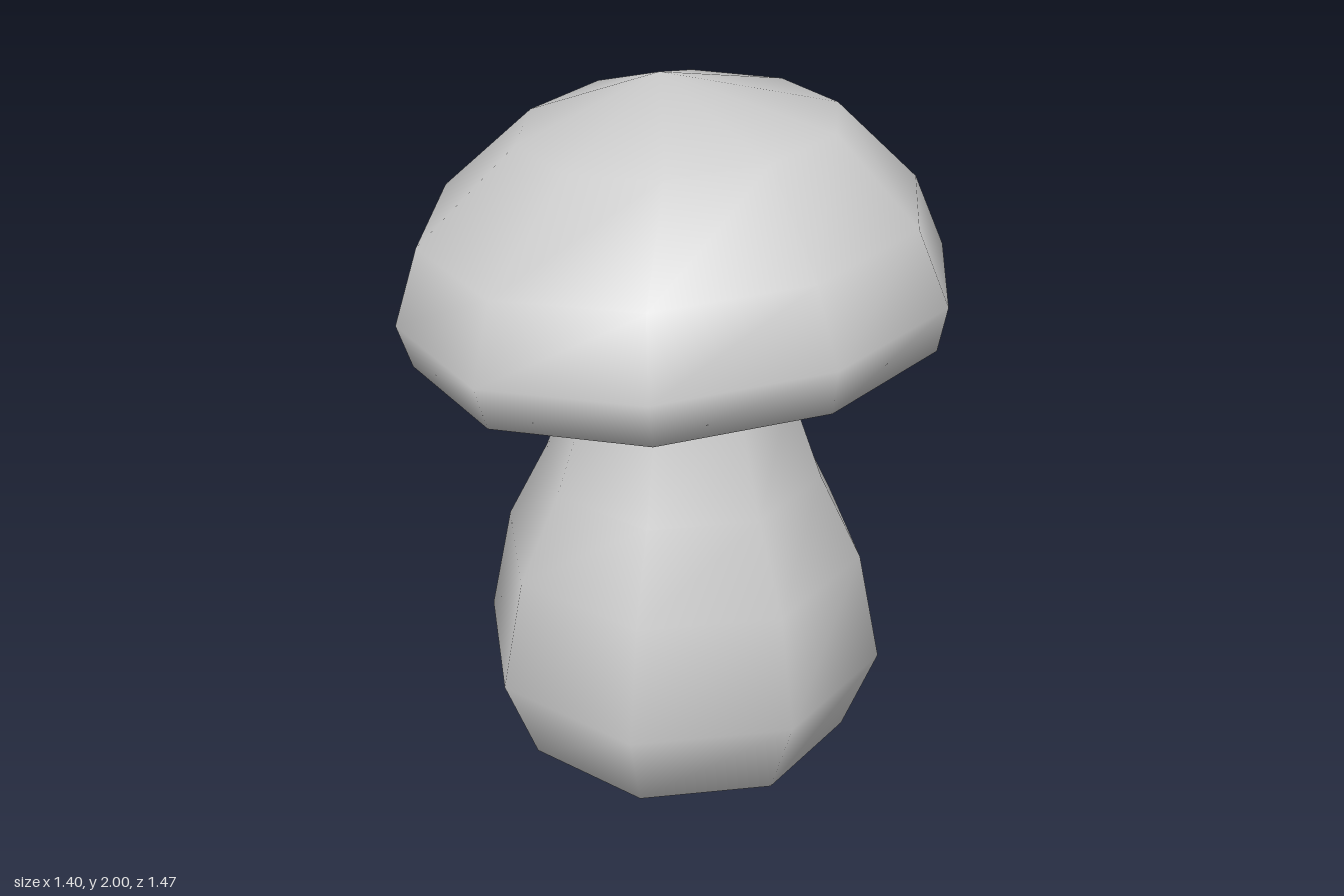
import * as THREE from 'three';

// Skins a closed, smooth body over rings of [radius, y, centre x, centre z], listed bottom to top.
// A radius of 0 is a pole. lift(x, z) raises or lowers points to tilt and bend the body.
function loft(rings, sides, lift = () => 0) {
  const positions = [], index = [];
  const starts = rings.map(([r, y, cx, cz]) => {
    const start = positions.length / 3;
    for (let j = 0; j < (r ? sides : 1); j++) {
      const a = (j / sides) * Math.PI * 2;
      const x = cx + r * Math.sin(a), z = cz + r * Math.cos(a);
      positions.push(x, y + lift(x, z), z);
    }
    return start;
  });
  const at = (i, j) => starts[i] + (rings[i][0] ? j % sides : 0);
  for (let i = 0; i < rings.length - 1; i++) {
    for (let j = 0; j < sides; j++) {
      const a = at(i, j), b = at(i, j + 1), c = at(i + 1, j + 1), d = at(i + 1, j);
      if (a !== b) index.push(a, b, c);
      if (c !== d) index.push(a, c, d);
    }
  }
  const geometry = new THREE.BufferGeometry();
  geometry.setAttribute('position', new THREE.Float32BufferAttribute(positions, 3));
  geometry.setIndex(index);
  geometry.computeVertexNormals();
  return geometry;
}

export function createModel() {
  const group = new THREE.Group();
  group.name = 'mushroom';
  const grey = new THREE.MeshStandardMaterial({ color: 0xcccccc });
  grey.name = 'plain grey';

  // Bulbous eight-sided stem, narrowing into the cap
  const stemProfile = [
    [0, 0], [0.225, 0], [0.473, 0.1], [0.567, 0.35], [0.503, 0.665],
    [0.387, 0.9], [0.296, 1.15], [0.262, 1.34], [0.245, 1.46], [0, 1.46],
  ];
  const stem = new THREE.Mesh(loft(stemProfile.map(([r, y]) => [r, y, 0.011, 0.016]), 8), grey);
  stem.name = 'stem';

  // Ten-sided cap with a slightly hollow underside, tilted and drooping at the sides
  const capRings = [
    [0, 1.41, 0, 0],
    [0.705, 1.33, 0.006, 0.005],
    [0.735, 1.455, -0.002, 0.003],
    [0.66, 1.652, -0.01, -0.005],
    [0.42, 1.865, 0.02, -0.017],
    [0, 2.002, -0.035, -0.02],
  ];
  const droop = (x, z) => 0.052 * x + 0.035 * z - 0.06 * x * x;
  const cap = new THREE.Mesh(loft(capRings, 10, droop), grey);
  cap.name = 'cap';

  group.add(stem, cap);
  return group;
}
